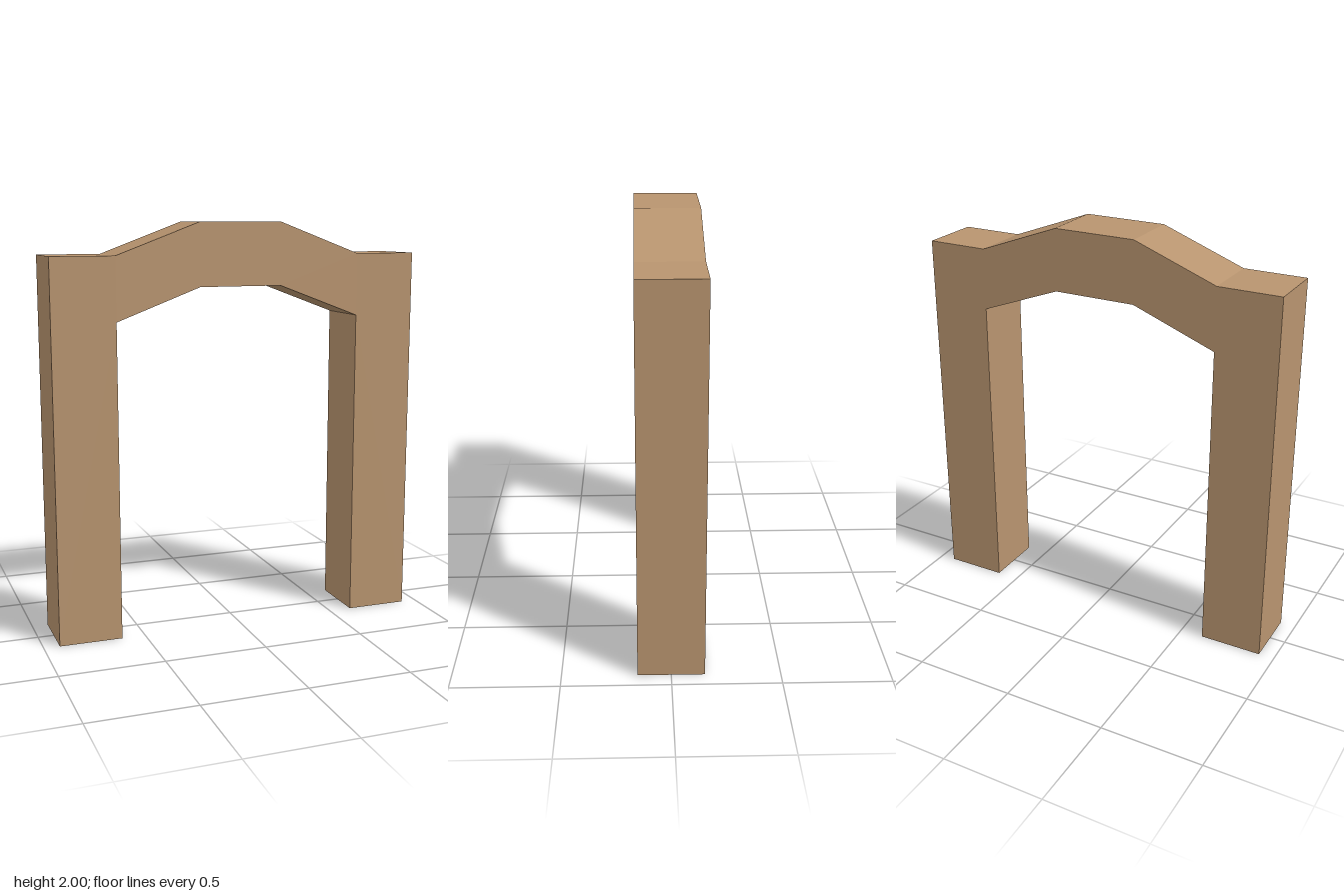
import * as THREE from 'three';

// Right half of the outline, from the outer foot over the crown to the inner foot
const OUTER = [[0.923, 0], [0.923, 1.846], [0.615, 1.846], [0.205, 2]];
const INNER = [[0.205, 1.695], [0.615, 1.54], [0.615, 0]];
const DEPTH = 0.308;

const mirrored = (points) => points.map(([x, y]) => [-x, y]).reverse();

// Drop the faces lying on the ground, leaving the feet of the hollow legs open
function openFeet(geometry) {
  const source = geometry.index ? geometry.toNonIndexed() : geometry;
  const p = source.getAttribute('position');
  const kept = [];
  for (let i = 0; i < p.count; i += 3) {
    if ([0, 1, 2].every((k) => Math.abs(p.getY(i + k)) < 1e-5)) continue;
    for (let k = 0; k < 3; k++) kept.push(p.getX(i + k), p.getY(i + k), p.getZ(i + k));
  }
  const result = new THREE.BufferGeometry();
  result.setAttribute('position', new THREE.Float32BufferAttribute(kept, 3));
  result.computeVertexNormals();
  return result;
}

export function createModel() {
  const group = new THREE.Group();
  group.name = 'archway';

  const outline = [...OUTER, ...mirrored(OUTER), ...mirrored(INNER), ...INNER];
  const shape = new THREE.Shape(outline.map(([x, y]) => new THREE.Vector2(x, y)));
  const solid = new THREE.ExtrudeGeometry(shape, { depth: DEPTH, bevelEnabled: false });
  solid.translate(0, 0, -DEPTH / 2);

  // Two posts joined by a faceted crown, as one shell
  const arch = new THREE.Mesh(
    openFeet(solid),
    new THREE.MeshStandardMaterial({ color: 0xb8946f, flatShading: true, side: THREE.DoubleSide })
  );
  arch.name = 'arch';
  group.add(arch);
  return group;
}
